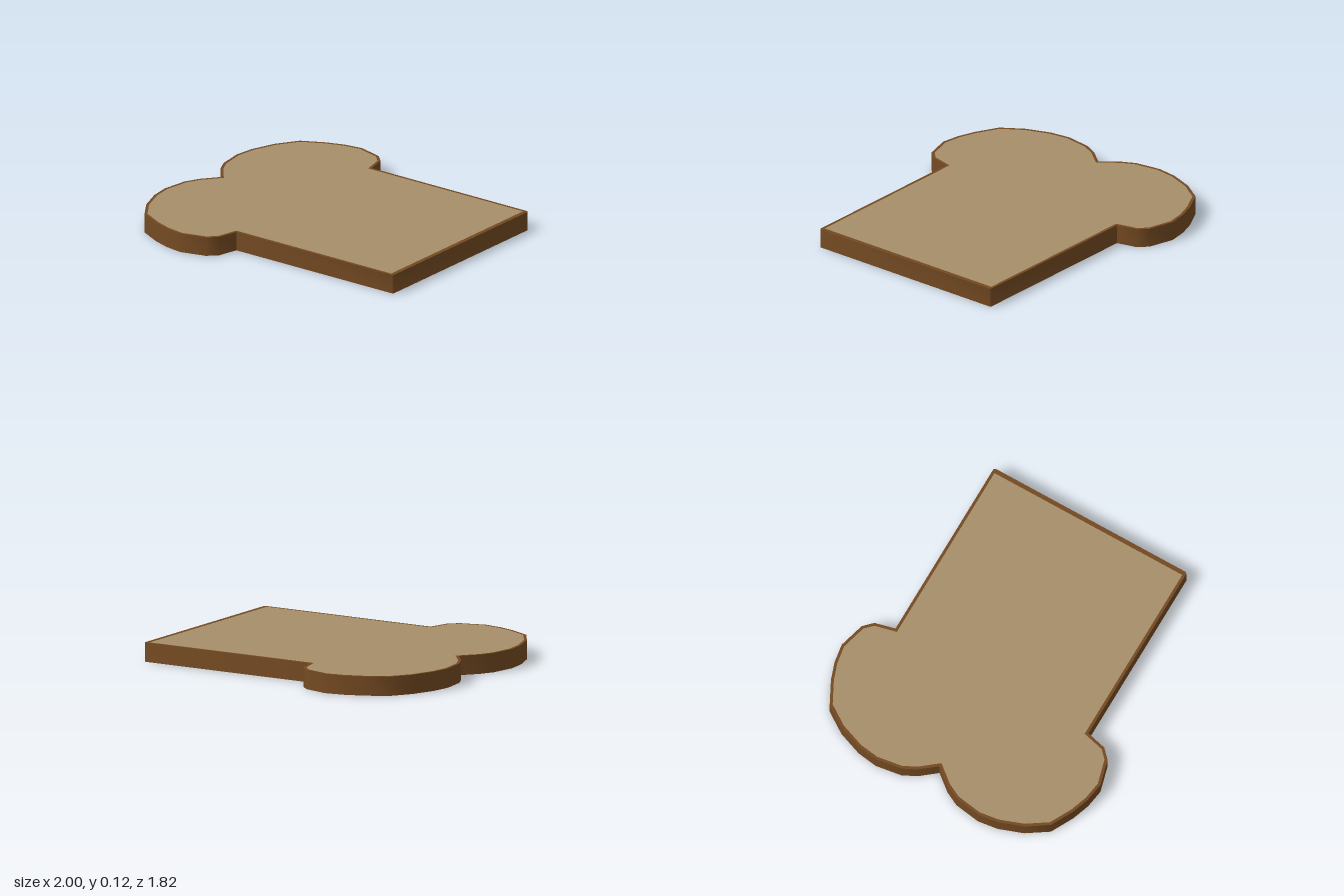
import * as THREE from 'three';
import { toCreasedNormals } from 'three/addons/utils/BufferGeometryUtils.js';

const HEIGHT = 0.12;
const CRUST = 0.018;

// Half of the slice outline, from the notch between the lobes to the flat end
const half = [
  [-0.93, 0.105], [-0.975, 0.195], [-1, 0.36], [-0.982, 0.49], [-0.925, 0.645],
  [-0.835, 0.78], [-0.69, 0.855], [-0.58, 0.893], [-0.46, 0.912], [-0.295, 0.867],
  [-0.237, 0.81], [-0.205, 0.68], [0.99, 0.68], [1, 0.67],
];

// Clockwise closed outline, mirrored about the long axis
function makeOutline() {
  const mirrored = half.map(([x, y]) => [x, -y]).reverse();
  return [[-0.845, 0], ...half, ...mirrored].map(([x, y]) => new THREE.Vector2(x, y));
}

// Moves every corner inwards by d along its mitre
function inset(points, d) {
  const n = points.length;
  const inward = (a, b) => new THREE.Vector2(b.y - a.y, a.x - b.x).normalize();
  return points.map((p, i) => {
    const n1 = inward(points[(i + n - 1) % n], p);
    const n2 = inward(p, points[(i + 1) % n]);
    const q = n1.clone().add(n2).multiplyScalar(d / (1 + n1.dot(n2))).add(p);
    q.x = Math.min(q.x, 0.972); // the crust is thicker at the flat end
    return q;
  });
}

// Extrudes a flat shape upwards from the ground
function slab(shape) {
  const geometry = new THREE.ExtrudeGeometry(shape, { depth: HEIGHT, bevelEnabled: false });
  geometry.rotateX(-Math.PI / 2);
  return toCreasedNormals(geometry, 0.8);
}

export function createModel() {
  const crustMaterial = new THREE.MeshStandardMaterial({ color: 0x744a22 });
  crustMaterial.name = 'crust brown';
  const crumbMaterial = new THREE.MeshStandardMaterial({ color: 0xa68e69 });
  crumbMaterial.name = 'crumb tan';

  const outer = makeOutline();
  const inner = inset(outer, CRUST);

  // Crust: a thin rim around the slice
  const rim = new THREE.Shape(outer);
  rim.holes.push(new THREE.Path(inner));
  const crust = new THREE.Mesh(slab(rim), crustMaterial);
  crust.name = 'crust';

  // Crumb: fills the rim, visible above and below
  const crumb = new THREE.Mesh(slab(new THREE.Shape(inner)), crumbMaterial);
  crumb.name = 'crumb';

  const group = new THREE.Group();
  group.name = 'breadSlice';
  group.add(crust, crumb);
  return group;
}
